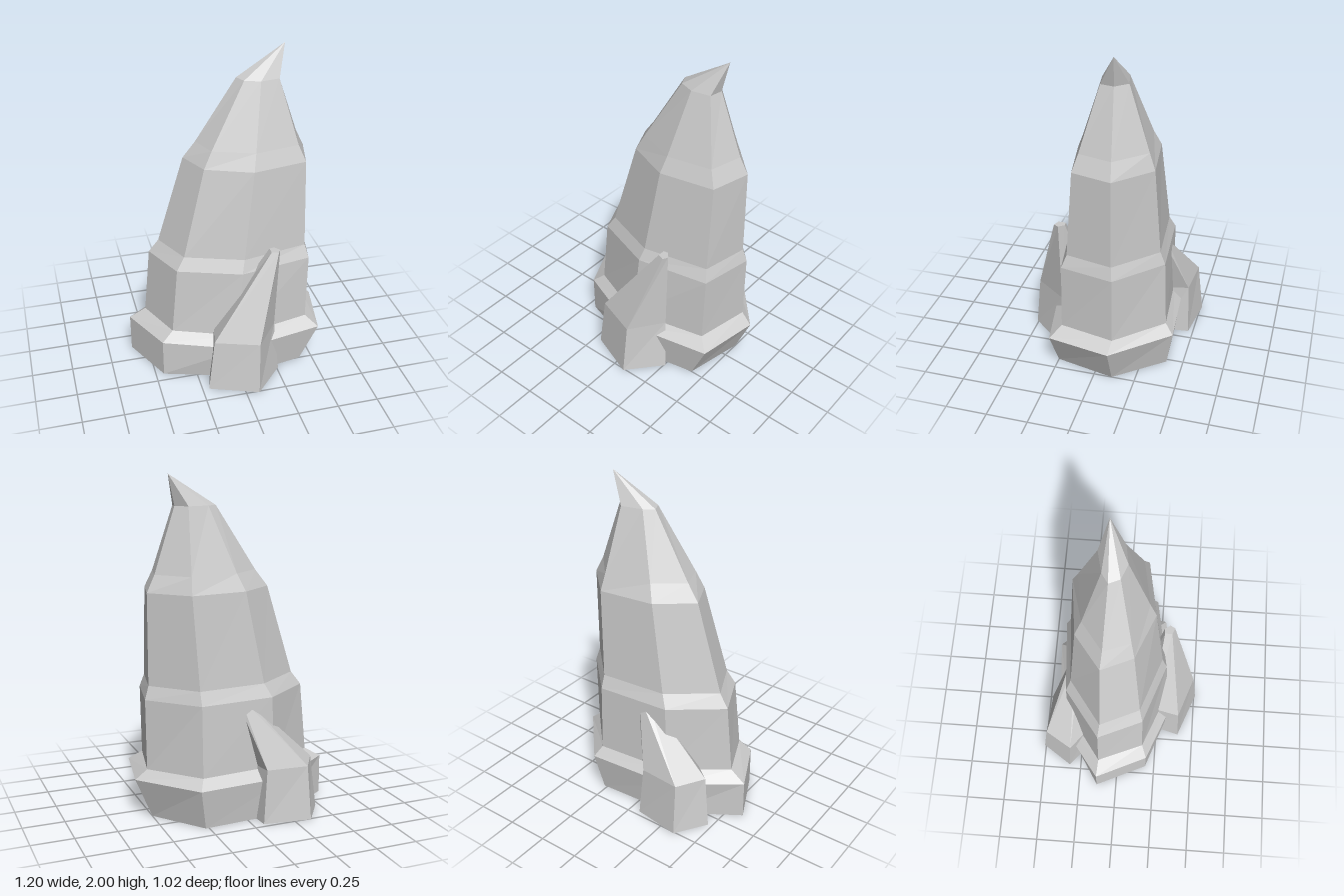
import * as THREE from 'three';

const material = new THREE.MeshStandardMaterial({ color: 0xcccccc, flatShading: true });

// Faceted solid through stacked rings: each ring is { y, pts: [[x, z], ...] },
// listed left -> front -> right -> back. An optional tip closes the top in a point.
function loft(name, rings, tip) {
  const loops = rings.map(({ y, pts }) => pts.map(([x, z]) => new THREE.Vector3(x, y, z)));
  const centre = (loop) =>
    loop.reduce((s, p) => s.add(p), new THREE.Vector3()).divideScalar(loop.length);
  const n = loops[0].length;
  const corners = [];
  const top = loops[loops.length - 1];
  const topPoint = tip ? new THREE.Vector3(...tip) : centre(top);
  const bottomPoint = centre(loops[0]);
  for (let i = 0; i < n; i++) {
    const j = (i + 1) % n;
    for (let k = 0; k + 1 < loops.length; k++) {
      const a = loops[k], b = loops[k + 1];
      corners.push(a[i], a[j], b[j], a[i], b[j], b[i]);
    }
    corners.push(top[i], top[j], topPoint);
    corners.push(loops[0][j], loops[0][i], bottomPoint);
  }
  const geometry = new THREE.BufferGeometry().setFromPoints(corners);
  geometry.computeVertexNormals();
  const mesh = new THREE.Mesh(geometry, material);
  mesh.name = name;
  return mesh;
}

export function createModel() {
  const group = new THREE.Group();
  group.name = 'rockSpire';

  // Main seven-sided spire: flared foot, two stepped tiers, shoulder and hooked tip
  group.add(loft('mainSpire', [
    { y: 0, pts: [[-0.6, -0.13], [-0.45, 0.19], [0, 0.33], [0.42, 0.25], [0.5, -0.11], [0.27, -0.4], [-0.22, -0.37]] },
    { y: 0.24, pts: [[-0.6, -0.13], [-0.45, 0.19], [0, 0.37], [0.53, 0.27], [0.6, -0.11], [0.31, -0.44], [-0.24, -0.4]] },
    { y: 0.3, pts: [[-0.5, -0.12], [-0.38, 0.16], [0, 0.31], [0.46, 0.21], [0.53, -0.12], [0.28, -0.39], [-0.18, -0.35]] },
    { y: 0.72, pts: [[-0.46, -0.12], [-0.34, 0.15], [0.03, 0.28], [0.47, 0.2], [0.535, -0.12], [0.28, -0.375], [-0.17, -0.34]] },
    { y: 0.8, pts: [[-0.4, -0.11], [-0.29, 0.13], [0.05, 0.25], [0.45, 0.17], [0.51, -0.11], [0.28, -0.345], [-0.13, -0.31]] },
    { y: 1.34, pts: [[-0.235, -0.11], [-0.15, 0.08], [0.12, 0.19], [0.45, 0.13], [0.51, -0.11], [0.31, -0.31], [-0.03, -0.27]] },
    { y: 1.44, pts: [[-0.16, -0.1], [-0.1, 0.06], [0.14, 0.15], [0.41, 0.1], [0.46, -0.1], [0.3, -0.275], [0.01, -0.23]] },
    { y: 1.82, pts: [[0.08, -0.08], [0.11, -0.015], [0.2, 0.02], [0.315, 0], [0.33, -0.08], [0.27, -0.15], [0.14, -0.12]] },
  ], [0.37, 2, -0.09]));

  // Leaning shard at the front
  group.add(loft('frontShard', [
    { y: 0, pts: [[-0.21, 0.4], [0.08, 0.51], [0.26, 0.31], [0.1, 0.1], [-0.15, 0.18]] },
    { y: 0.33, pts: [[-0.17, 0.385], [0.09, 0.475], [0.235, 0.28], [0.1, 0.12], [-0.13, 0.2]] },
    { y: 0.86, pts: [[0.2, 0.3], [0.24, 0.315], [0.257, 0.285], [0.23, 0.25], [0.2, 0.255]] },
  ]));

  // Shorter shard at the back, its tip buried in the spire
  group.add(loft('backShard', [
    { y: 0, pts: [[-0.475, -0.325], [-0.3, -0.18], [-0.05, -0.3], [-0.065, -0.47], [-0.35, -0.51]] },
    { y: 0.32, pts: [[-0.44, -0.31], [-0.3, -0.2], [-0.06, -0.3], [-0.09, -0.455], [-0.34, -0.475]] },
    { y: 0.74, pts: [[0, -0.3], [0.02, -0.27], [0.05, -0.28], [0.05, -0.31], [0.03, -0.325]] },
  ]));

  return group;
}
